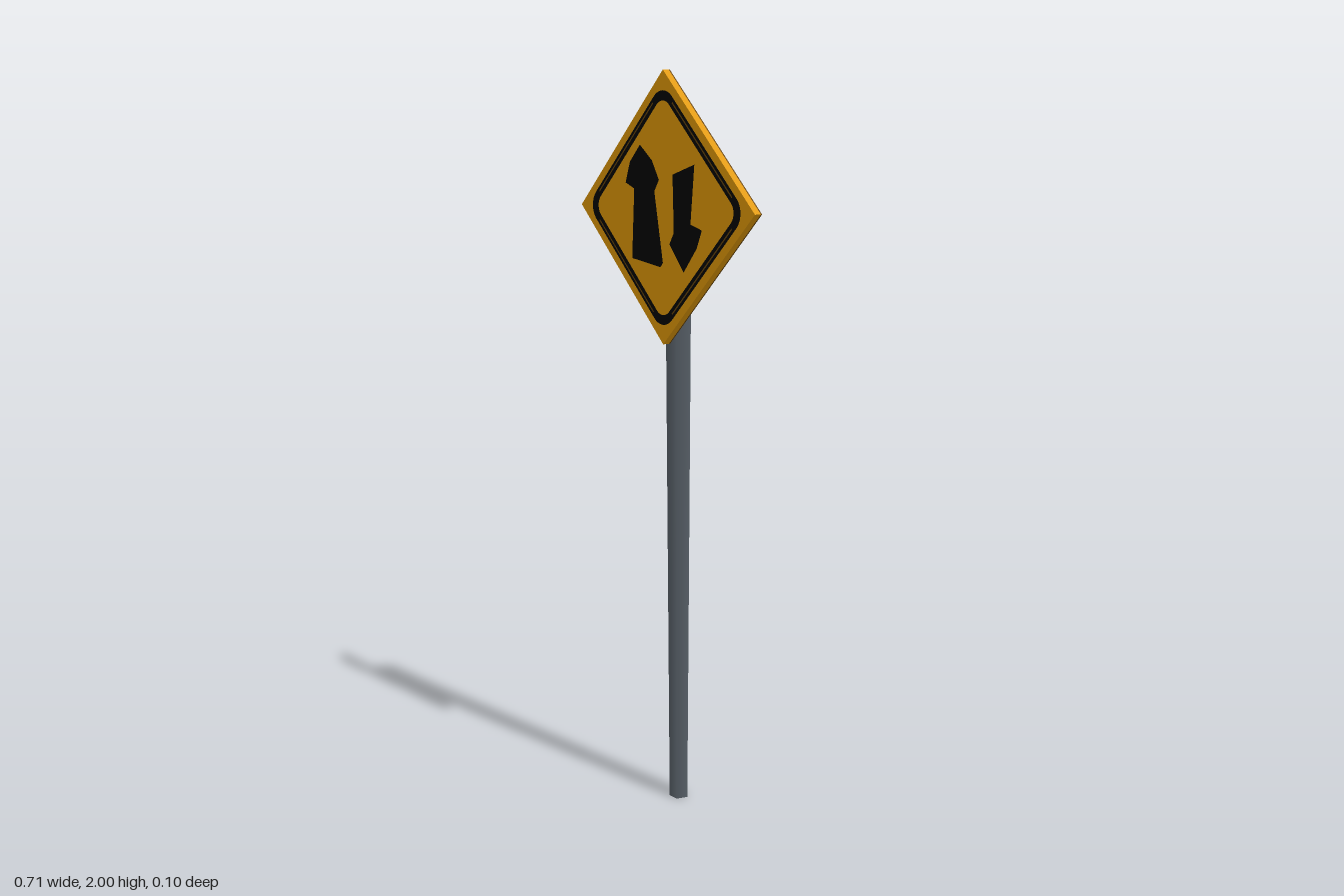
import * as THREE from 'three';

const mat = (name, color) => Object.assign(new THREE.MeshStandardMaterial({ color }), { name });

// Square of half-width h with rounded corners of radius r
function roundedSquare(path, h, r) {
  const k = h - r;
  path.absarc(k, k, r, 0, Math.PI / 2);
  path.absarc(-k, k, r, Math.PI / 2, Math.PI);
  path.absarc(-k, -k, r, Math.PI, Math.PI * 1.5);
  path.absarc(k, -k, r, Math.PI * 1.5, Math.PI * 2);
  path.closePath();
  return path;
}

export function createModel() {
  const amber = mat('sign amber', 0xe29a04);
  const brown = mat('edge brown', 0x6a4606);
  const steel = mat('steel grey', 0x565e66);
  const black = mat('sign black', 0x020202);

  const model = new THREE.Group();
  model.name = 'roadSign';
  const add = (name, geometry, material, parent = model) => {
    const mesh = new THREE.Mesh(geometry, material);
    mesh.name = name;
    parent.add(mesh);
    return mesh;
  };

  // Five-sided pole, slightly wider at the top, flat side to the front
  const pole = add('pole', new THREE.CylinderGeometry(0.039, 0.027, 1.797, 5, 1, false, Math.PI), steel);
  pole.position.set(0, 0.8985, -0.009);

  const sign = new THREE.Group();
  sign.name = 'sign';
  sign.position.set(0, 1.644, 0.0345);
  model.add(sign);

  // Everything in this group is turned to stand on its corner
  const diamond = new THREE.Group();
  diamond.name = 'diamond';
  diamond.rotation.z = Math.PI / 4;
  sign.add(diamond);

  // Panel: amber front and rim, with a dark rear edge and bare metal back
  const side = 0.356 * Math.SQRT2;
  add('panel', new THREE.BoxGeometry(side, side, 0.02), amber, diamond).position.z = 0.0025;
  add('rearEdge', new THREE.BoxGeometry(side, side, 0.004),
    [brown, brown, brown, brown, brown, steel], diamond).position.z = -0.0095;

  // Painted border
  const ring = roundedSquare(new THREE.Shape(), 0.23, 0.052);
  ring.holes.push(roundedSquare(new THREE.Path(), 0.207, 0.036));
  add('border', new THREE.ShapeGeometry(ring, 8), black, diamond).position.z = 0.0132;

  // Thin line along each straight run of the border
  for (let i = 0; i < 4; i++) {
    const a = i * Math.PI / 2;
    const line = add('borderLine', new THREE.PlaneGeometry(0.004, 0.33), brown, diamond);
    line.rotation.z = a;
    line.position.set(Math.cos(a) * 0.22, Math.sin(a) * 0.22, 0.014);
  }

  // Painted arrows, as outlines about the panel centre
  const arrows = {
    upArrow: [[-0.095, 0.165], [-0.138, 0.12], [-0.157, 0.065], [-0.12, 0.05], [-0.13, -0.135],
      [-0.01, -0.152], [0, -0.14], [-0.035, 0.045], [-0.016, 0.075], [-0.045, 0.125]],
    downArrow: [[0.04, 0.09], [0.045, -0.06], [0.027, -0.09], [0.085, -0.16],
      [0.137, -0.095], [0.157, -0.048], [0.112, -0.035], [0.127, 0.117]],
  };
  for (const [name, points] of Object.entries(arrows)) {
    const shape = new THREE.Shape(points.map(([x, y]) => new THREE.Vector2(x, y)));
    add(name, new THREE.ShapeGeometry(shape), black, sign).position.z = 0.0132;
  }

  return model;
}
